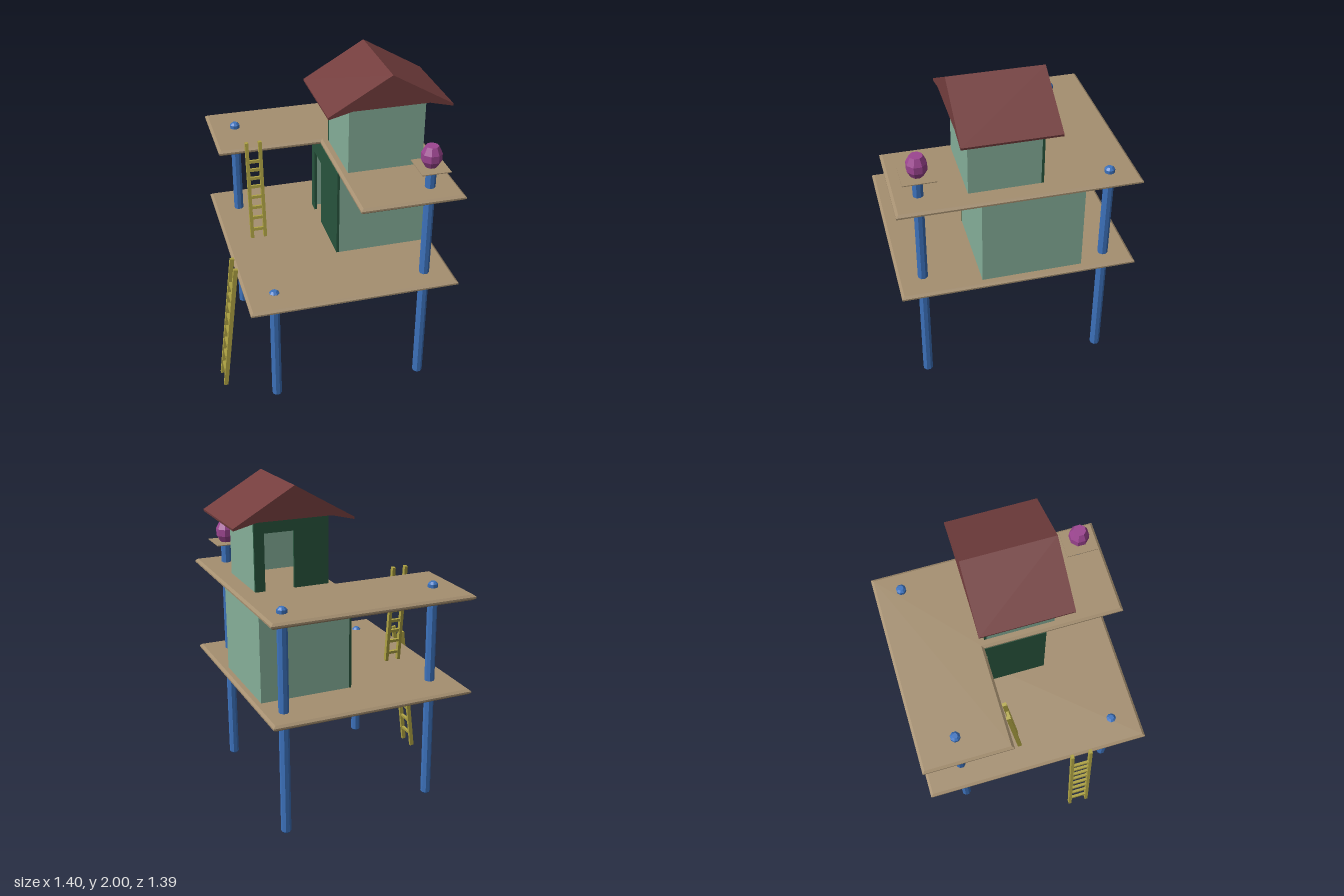
import * as THREE from 'three';

const mat = (color) => new THREE.MeshStandardMaterial({ color, flatShading: true });
const wood = mat(0xa58f70), blue = mat(0x3d73be), wall = mat(0x86b09a), doorGreen = mat(0x28553d);
const red = mat(0x743e3e), yellow = mat(0xb0a444), magenta = mat(0x9c4590);

function add(parent, name, geometry, material, x = 0, y = 0, z = 0) {
  const m = new THREE.Mesh(geometry, material);
  m.name = name;
  m.position.set(x, y, z);
  parent.add(m);
  return m;
}

const shapeOf = (pts) => new THREE.Shape(pts.map(([x, y]) => new THREE.Vector2(x, y)));

// Deck with chamfered rim; outline given as [x, z], bottom at y
function deck(parent, name, outline, y) {
  const t = 0.034, bevel = 0.012;
  const geo = new THREE.ExtrudeGeometry(shapeOf(outline.map(([x, z]) => [x, -z])), {
    depth: t - 2 * bevel, bevelEnabled: true, bevelThickness: bevel,
    bevelSize: 0.015, bevelOffset: -0.015, bevelSegments: 1,
  });
  geo.rotateX(-Math.PI / 2);
  add(parent, name, geo, wood, 0, y + bevel, 0);
}

// Eight-sided turned solid with flats facing the axes; profile is [apothem, y]
function octagon(profile) {
  const k = 1 / Math.cos(Math.PI / 8);
  const pts = profile.map(([r, y]) => new THREE.Vector2(r * k, y));
  return new THREE.LatheGeometry(pts, 8, Math.PI / 8);
}

// Hut with three plain walls and a door wall facing -z
function hut(name, w, d, h, doorX, doorW, doorH) {
  const g = new THREE.Group(), t = 0.015;
  g.name = name;
  add(g, 'rearWall', new THREE.BoxGeometry(w, h, t), wall, 0, h / 2, d / 2 - t / 2);
  for (const s of [-1, 1]) {
    add(g, 'sideWall', new THREE.BoxGeometry(t, h, d - 2 * t), wall, s * (w - t) / 2, h / 2, 0);
  }
  const a = doorX - doorW / 2, b = doorX + doorW / 2;
  const front = shapeOf([[-w / 2, 0], [a, 0], [a, doorH], [b, doorH], [b, 0], [w / 2, 0], [w / 2, h], [-w / 2, h]]);
  add(g, 'doorWall', new THREE.ExtrudeGeometry(front, { depth: t, bevelEnabled: false }), doorGreen, 0, 0, -d / 2);
  return g;
}

// Ladder standing on its own origin, rails spread along x
function ladder(name, length, gap, rungs) {
  const g = new THREE.Group(), r = 0.02;
  g.name = name;
  for (const s of [-1, 1]) {
    add(g, 'rail', new THREE.BoxGeometry(r, length, 0.026), yellow, s * gap / 2, length / 2, 0);
  }
  for (const y of rungs) add(g, 'rung', new THREE.BoxGeometry(gap, 0.018, 0.016), yellow, 0, y, 0);
  return g;
}

export function createModel() {
  const model = new THREE.Group();
  model.name = 'treehouse';

  // Decks: full lower deck, L-shaped upper deck
  deck(model, 'lowerDeck', [[-0.57, 0.695], [0.67, 0.695], [0.67, -0.695], [-0.57, -0.695]], 0.772);
  deck(model, 'upperDeck', [[-0.57, -0.16], [0.06, -0.16], [0.06, 0.695], [0.67, 0.695],
    [0.67, -0.695], [-0.57, -0.695]], 1.357);

  // Poles: x, z, top
  for (const [x, z, top] of [[-0.4, 0.525, 0.82], [0.508, 0.548, 1.52], [0.55, -0.535, 1.425], [-0.417, -0.465, 1.425]]) {
    const r = 0.028, c = 0.013, b = 0.035;
    add(model, 'pole', octagon([[0, b], [r - c, b], [r, b + c], [r, top - c], [r - c, top], [0, top]]), blue, x, 0, z);
  }

  // Lantern on its tray
  add(model, 'lanternTray', new THREE.BoxGeometry(0.17, 0.005, 0.19), wood, 0.505, 1.522, 0.547);
  add(model, 'lantern', octagon([[0, 0], [0.033, 0], [0.055, 0.042], [0.055, 0.085], [0.035, 0.128], [0, 0.128]]),
    magenta, 0.505, 1.522, 0.547);

  // Huts
  const lower = hut('lowerHut', 0.595, 0.565, 0.555, 0.145, 0.16, 0.43);
  lower.rotation.y = Math.PI / 2;
  lower.position.set(0.343, 0.804, -0.0775);
  const upper = hut('upperHut', 0.455, 0.43, 0.425, 0.077, 0.18, 0.34);
  upper.position.set(0.333, 1.39, 0.067);
  model.add(lower, upper);

  // Gable roof with shallow sloping eaves underneath
  const gable = shapeOf([[-0.365, 1.775], [-0.225, 1.81], [0.225, 1.81], [0.365, 1.775], [0.367, 1.788], [0, 2], [-0.367, 1.788]]);
  add(model, 'roof', new THREE.ExtrudeGeometry(gable, { depth: 0.55, bevelEnabled: false }), red, 0.333, 0, -0.205);

  // Ladders leaning on the deck edges
  const low = ladder('lowerLadder', 0.87, 0.117, [0.09, 0.19, 0.285, 0.375, 0.465, 0.545, 0.625, 0.7]);
  low.rotation.set(0, Math.PI / 2, 0);
  const lean = new THREE.Group();
  lean.name = 'lowerLadderLean';
  lean.add(low);
  lean.rotation.z = -Math.atan2(0.1, 0.86);
  lean.position.set(-0.686, 0.001, 0.265);
  model.add(lean);
  const high = ladder('upperLadder', 0.635, 0.082, [0.055, 0.135, 0.205, 0.275, 0.345, 0.4, 0.455, 0.51]);
  high.rotation.x = -Math.atan2(0.07, 0.63);
  high.position.set(-0.363, 0.806, -0.08);
  model.add(high);

  return model;
}
